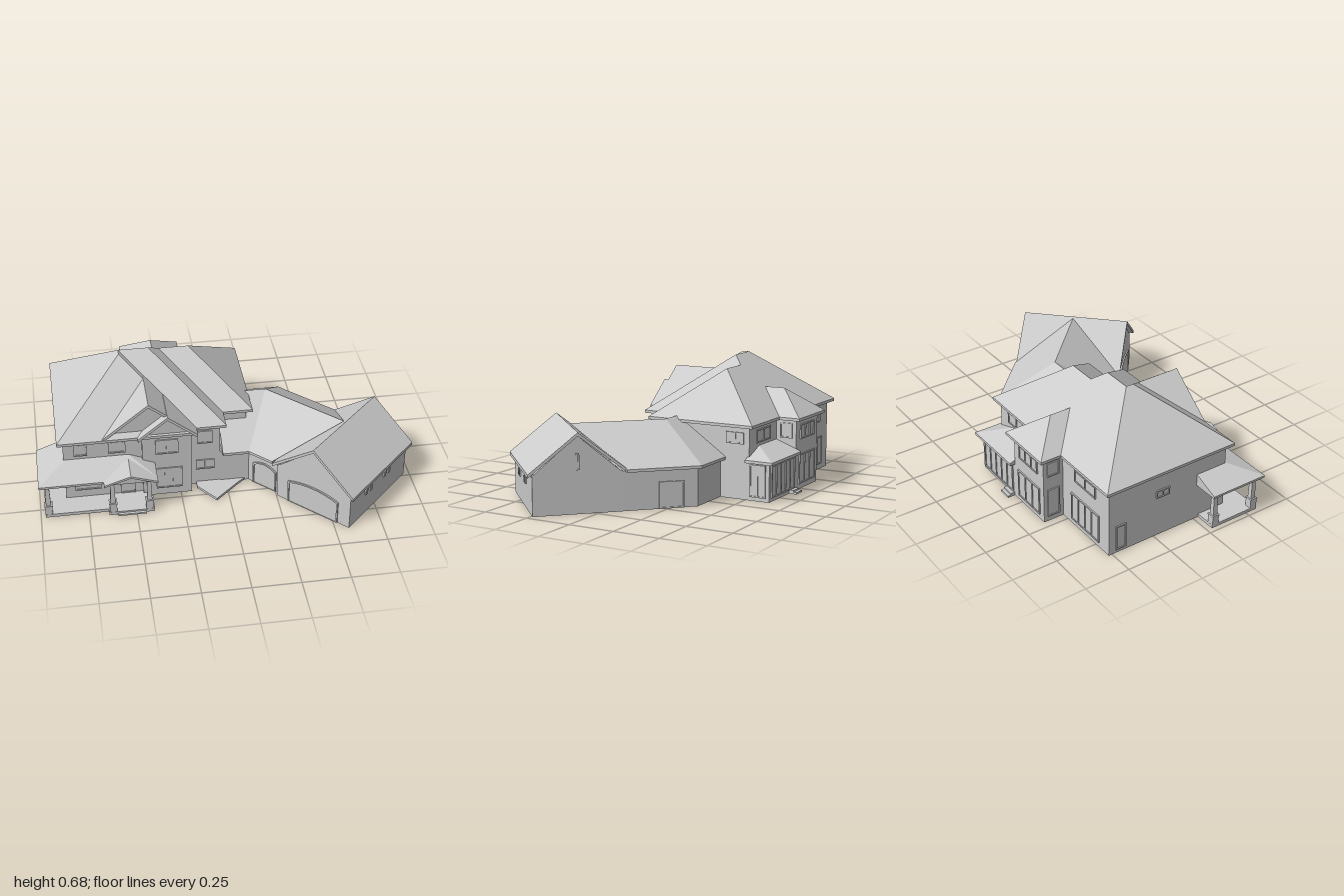
import * as THREE from 'three';

const mat = new THREE.MeshStandardMaterial({ color: 0xcccccc, flatShading: true, side: THREE.DoubleSide });

function add(parent, name, geo, x = 0, y = 0, z = 0, ry = 0) {
  const m = new THREE.Mesh(geo, mat);
  m.name = name;
  m.position.set(x, y, z);
  m.rotation.y = ry;
  parent.add(m);
  return m;
}

// Box given by its limits
function block(parent, name, x0, x1, y0, y1, z0, z1) {
  return add(parent, name, new THREE.BoxGeometry(x1 - x0, y1 - y0, z1 - z0),
    (x0 + x1) / 2, (y0 + y1) / 2, (z0 + z1) / 2);
}

// Vertical prism over a footprint of [x, z] points
function prism(parent, name, pts, y0, y1) {
  const shape = new THREE.Shape(pts.map(([x, z]) => new THREE.Vector2(x, -z)));
  const geo = new THREE.ExtrudeGeometry(shape, { depth: y1 - y0, bevelEnabled: false });
  geo.rotateX(-Math.PI / 2);
  return add(parent, name, geo, 0, y0, 0);
}

// Skin between equal rings of points; caps the first and last ring
function loft(rings) {
  const n = rings[0].length, pos = rings.flat(2), idx = [];
  for (let r = 0; r < rings.length - 1; r++) {
    for (let i = 0; i < n; i++) {
      const a = r * n + i, b = r * n + (i + 1) % n;
      idx.push(a, b, b + n, a, b + n, a + n);
    }
  }
  const top = (rings.length - 1) * n;
  for (let i = 1; i < n - 1; i++) idx.push(0, i + 1, i, top, top + i, top + i + 1);
  const geo = new THREE.BufferGeometry();
  geo.setAttribute('position', new THREE.Float32BufferAttribute(pos, 3));
  geo.setIndex(idx);
  const flat = geo.toNonIndexed();
  flat.computeVertexNormals();
  return flat;
}

// Hipped roof: eave rectangle rising to a smaller rectangle, ridge or point
function hipRoof(parent, name, eave, top, y, rise, t = 0.015) {
  const ring = ([x0, x1, z0, z1], h) => [[x0, h, z1], [x1, h, z1], [x1, h, z0], [x0, h, z0]];
  add(parent, name, loft([ring(eave, y - t), ring(eave, y), ring(top, y + rise)]));
}

// Equal-pitch hip: ridge follows from the plan
function equalHip(parent, name, x0, x1, z0, z1, y, pitch) {
  const r = Math.min(x1 - x0, z1 - z0) / 2;
  hipRoof(parent, name, [x0, x1, z0, z1], [x0 + r, x1 - r, z0 + r, z1 - r], y, r * pitch);
}

function extrudePts(pts, depth) {
  const shape = new THREE.Shape(pts.map(p => new THREE.Vector2(p[0], p[1])));
  return new THREE.ExtrudeGeometry(shape, { depth, bevelEnabled: false });
}

// Gable roof with its ridge along z, and the triangular end wall below it
function gable(parent, name, cx, w, y, rise, z0, z1, wall0, wall1, t = 0.018) {
  add(parent, name + 'Roof', extrudePts(
    [[-w, -t], [0, rise - t], [w, -t], [w, 0], [0, rise], [-w, 0]], z1 - z0), cx, y, z0);
  add(parent, name + 'Wall', extrudePts(
    [[-w + 0.02, -t], [w - 0.02, -t], [0, rise - t]], wall1 - wall0), cx, y, wall0);
}

function rectPath(x0, y0, x1, y1, Type = THREE.Path) {
  return new Type([[x0, y0], [x1, y0], [x1, y1], [x0, y1]].map(p => new THREE.Vector2(...p)));
}

// Framed window; x, z on the wall, y at its centre
function windowUnit(parent, x, y, z, w, h, ry, cols = 1, rows = 1) {
  const b = 0.007, shape = rectPath(-w / 2, -h / 2, w / 2, h / 2, THREE.Shape);
  const cw = (w - b) / cols, ch = (h - b) / rows;
  for (let i = 0; i < cols; i++) {
    for (let j = 0; j < rows; j++) {
      const px = -w / 2 + b + i * cw, py = -h / 2 + b + j * ch;
      shape.holes.push(rectPath(px, py, px + cw - b, py + ch - b));
    }
  }
  const g = new THREE.Group();
  g.name = 'window';
  add(g, 'windowFrame', new THREE.ExtrudeGeometry(shape, { depth: 0.007, bevelEnabled: false }));
  add(g, 'windowPane', new THREE.BoxGeometry(w, h, 0.003), 0, 0, 0.001);
  g.position.set(x, y, z);
  g.rotation.y = ry;
  parent.add(g);
}

// Door with a shallow arched head, standing on the ground
function archDoor(parent, name, x, z, w, h, ry) {
  const outline = (Type, k) => {
    const s = new Type(), a = w / 2 - k, y = h - 0.025;
    s.moveTo(-a, 0.003);
    s.lineTo(a, 0.003);
    s.lineTo(a, y - k);
    s.quadraticCurveTo(0, h + 0.025 - k, -a, y - k);
    s.closePath();
    return s;
  };
  const frame = outline(THREE.Shape, 0);
  frame.holes.push(outline(THREE.Path, 0.008));
  const opts = { bevelEnabled: false, curveSegments: 8 };
  add(parent, name + 'Frame', new THREE.ExtrudeGeometry(frame, { ...opts, depth: 0.008 }), x, 0, z, ry);
  add(parent, name, new THREE.ExtrudeGeometry(outline(THREE.Shape, 0.004), { ...opts, depth: 0.002 }), x, 0, z, ry);
}

export function createModel() {
  const house = new THREE.Group();
  house.name = 'house';
  const Q = Math.PI / 4, pitch = 0.785;

  // Two-storey main body, stepping back towards the link
  prism(house, 'mainWalls', [[-0.86, 0.19], [-0.19, 0.19], [-0.19, 0.15], [-0.03, 0.15], [-0.03, 0.03],
    [0.13, 0.03], [0.13, -0.52], [-0.86, -0.52]], 0, 0.385);
  block(house, 'frontBay', -0.45, -0.19, 0, 0.385, 0.1, 0.21);
  block(house, 'rearBay', -0.46, -0.19, 0, 0.385, -0.635, -0.5);

  // Overlapping main hips
  equalHip(house, 'mainRoofLeft', -0.89, -0.16, -0.55, 0.22, 0.393, pitch);
  equalHip(house, 'mainRoofMiddle', -0.89, 0, -0.55, 0.18, 0.393, pitch);
  equalHip(house, 'mainRoofRight', -0.89, 0.16, -0.55, 0.06, 0.393, pitch);
  hipRoof(house, 'rearBayRoof', [-0.49, -0.16, -0.665, -0.36], [-0.325, -0.325, -0.5, -0.36], 0.393, 0.13);
  gable(house, 'largeFrontGable', -0.41, 0.25, 0.393, 0.197, -0.05, 0.217, 0.1, 0.192);
  gable(house, 'smallFrontGable', -0.315, 0.157, 0.393, 0.125, 0.02, 0.24, 0.1, 0.212);

  // Wrap-around porch
  block(house, 'porchFloor', -0.975, -0.41, 0, 0.018, 0.03, 0.315);
  block(house, 'porchStepUpper', -0.645, -0.405, 0, 0.018, 0.3, 0.345);
  block(house, 'porchStepLower', -0.6, -0.45, 0, 0.009, 0.34, 0.36);
  hipRoof(house, 'porchRoof', [-1, -0.385, 0.012, 0.335], [-0.855, -0.52, 0.012, 0.19], 0.215, 0.055, 0.012);
  gable(house, 'porchGable', -0.525, 0.14, 0.215, 0.046, 0.2, 0.37, 0.3, 0.352, 0.012);
  for (const [x, z] of [[-0.957, 0.05], [-0.957, 0.295], [-0.622, 0.325], [-0.43, 0.325]]) {
    const post = new THREE.Group();
    post.name = 'porchColumn';
    add(post, 'columnBase', new THREE.BoxGeometry(0.038, 0.055, 0.038), 0, 0.04, 0);
    add(post, 'columnCap', new THREE.BoxGeometry(0.043, 0.006, 0.043), 0, 0.069, 0);
    add(post, 'columnShaft', new THREE.CylinderGeometry(0.014, 0.019, 0.135, 4).rotateY(Q), 0, 0.138, 0);
    post.position.set(x, 0, z);
    house.add(post);
  }

  // Sunroom at the back with a lean-to roof
  block(house, 'sunroomWalls', -0.2, 0.13, 0, 0.207, -0.635, -0.5);
  hipRoof(house, 'sunroomRoof', [-0.19, 0.16, -0.665, -0.51], [-0.19, 0.01, -0.515, -0.51], 0.215, 0.055);
  block(house, 'rearStep', -0.18, -0.11, 0, 0.02, -0.66, -0.62);
  block(house, 'rearStepLower', -0.18, -0.11, 0, 0.01, -0.678, -0.62);

  // Link wing, bending halfway towards the garage
  prism(house, 'linkWalls', [[-0.03, 0.155], [0.125, 0.155], [0.32, 0.35], [0.65, -0.08],
    [0.372, -0.355], [0, -0.355]], 0, 0.205);
  const section = ([f, r, b]) => [
    [f[0], 0.2, f[1]], [f[0], 0.215, f[1]], [r[0], 0.408, r[1]], [b[0], 0.215, b[1]], [b[0], 0.2, b[1]]].reverse();
  add(house, 'linkRoof', loft([
    [[-0.02, 0.19], [-0.02, -0.1], [-0.02, -0.385]],
    [[0.12, 0.19], [0.255, -0.1], [0.384, -0.385]],
    [[0.225, 0.295], [0.61, 0.255], [0.655, -0.115]]].map(section)));
  prism(house, 'entrySlab', [[-0.16, 0.14], [-0.16, 0.19], [-0.07, 0.31], [0.06, 0.19], [0.12, 0.14]], 0, 0.014);
  archDoor(house, 'linkDoor', 0.2, 0.23, 0.15, 0.155, -Q);
  windowUnit(house, 0.47, 0.07, -0.26, 0.13, 0.138, 3 * Q);

  // Garage set at forty-five degrees
  const garage = new THREE.Group();
  garage.name = 'garage';
  garage.position.set(0.61, 0, 0.275);
  garage.rotation.y = -Q;
  house.add(garage);
  block(garage, 'garageWalls', -0.226, 0.226, 0, 0.21, -0.28, 0.28);
  gable(garage, 'garage', 0, 0.25, 0.215, 0.197, -0.3, 0.3, -0.28, 0.28);
  archDoor(garage, 'garageDoor', 0, 0.28, 0.31, 0.16, 0);
  for (const z of [0.127, 0.084, -0.057, -0.099]) windowUnit(garage, 0.226, 0.145, z, 0.02, 0.034, 2 * Q);
  windowUnit(garage, 0, 0.265, -0.28, 0.016, 0.085, 4 * Q);

  // Front windows and door
  for (const [x, y, z, w, h, c] of [
    [-0.77, 0.325, 0.19, 0.07, 0.07, 2], [-0.58, 0.325, 0.19, 0.09, 0.07, 2], [-0.32, 0.315, 0.21, 0.12, 0.09, 2],
    [-0.74, 0.12, 0.19, 0.14, 0.11, 3], [-0.31, 0.11, 0.21, 0.14, 0.13, 3],
    [-0.11, 0.31, 0.15, 0.08, 0.08, 2], [-0.11, 0.13, 0.15, 0.1, 0.06, 2]]) windowUnit(house, x, y, z, w, h, 0, c);
  windowUnit(house, -0.53, 0.095, 0.19, 0.08, 0.15, 0, 1, 2);

  // Rear windows
  for (const [x, y, z, w, h, c] of [
    [-0.66, 0.11, -0.52, 0.24, 0.16, 4], [-0.66, 0.31, -0.52, 0.18, 0.07, 2],
    [-0.325, 0.11, -0.635, 0.2, 0.16, 3], [-0.325, 0.31, -0.635, 0.17, 0.08, 3],
    [-0.03, 0.105, -0.635, 0.28, 0.17, 5], [-0.03, 0.32, -0.52, 0.16, 0.07, 2]])
    windowUnit(house, x, y, z, w, h, 4 * Q, c);

  // Side windows
  windowUnit(house, -0.86, 0.09, -0.45, 0.06, 0.14, -2 * Q);
  windowUnit(house, -0.86, 0.25, -0.2, 0.08, 0.045, -2 * Q, 2);
  windowUnit(house, -0.46, 0.11, -0.578, 0.07, 0.16, -2 * Q);
  windowUnit(house, -0.46, 0.31, -0.578, 0.07, 0.08, -2 * Q);
  windowUnit(house, 0.13, 0.105, -0.57, 0.09, 0.17, 2 * Q, 2);
  windowUnit(house, 0.13, 0.32, -0.44, 0.1, 0.06, 2 * Q, 2);
  windowUnit(house, -0.19, 0.32, -0.578, 0.07, 0.08, 2 * Q);

  return house;
}
